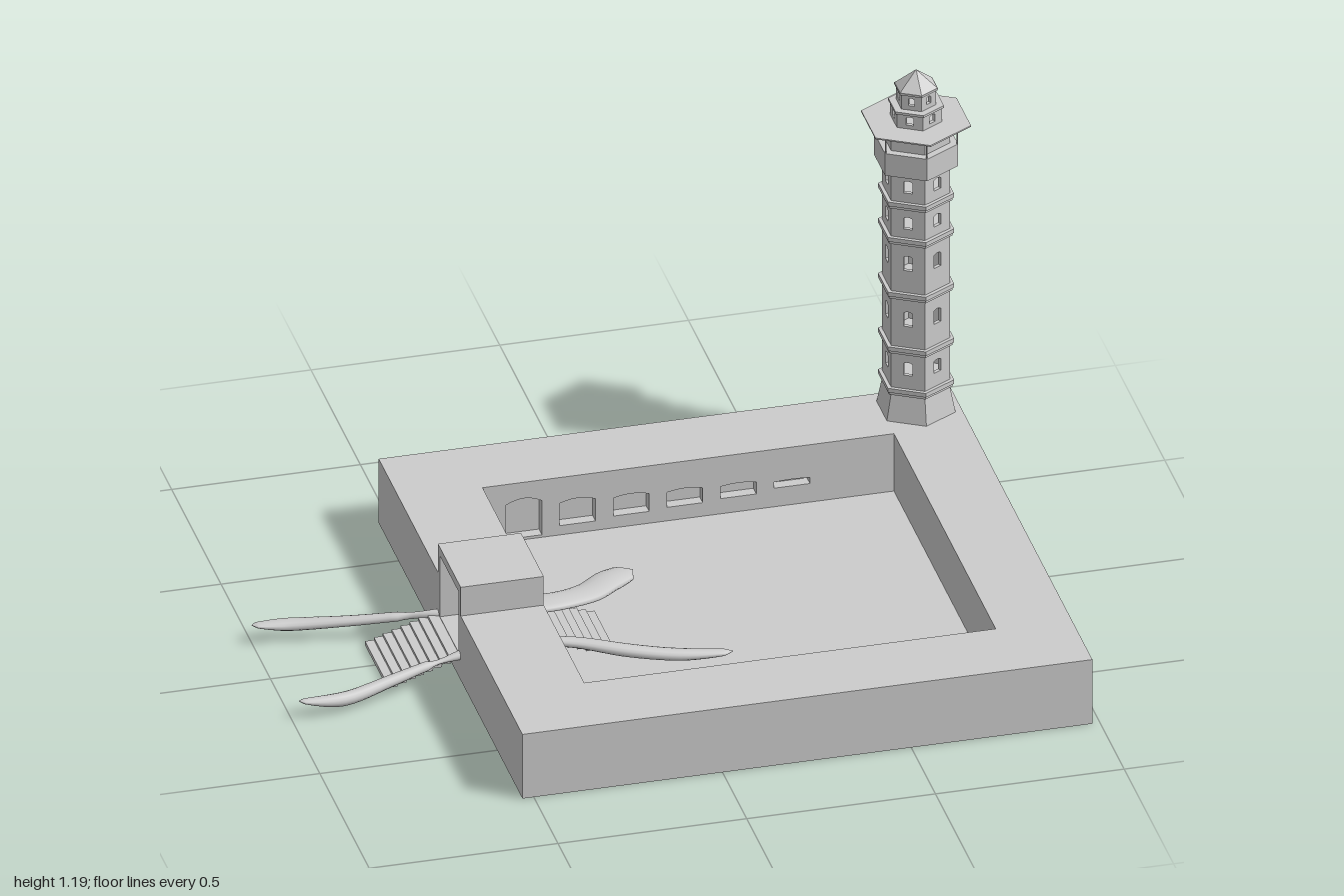
import * as THREE from 'three';

const smooth = new THREE.MeshStandardMaterial({ color: 0xcccccc, side: THREE.DoubleSide });
const flat = new THREE.MeshStandardMaterial({ color: 0xcccccc, flatShading: true, side: THREE.DoubleSide });

function add(parent, name, geometry, material = flat) {
  const mesh = new THREE.Mesh(geometry, material);
  mesh.name = name;
  parent.add(mesh);
  return mesh;
}

function group(parent, name) {
  const g = new THREE.Group();
  g.name = name;
  parent.add(g);
  return g;
}

// Box given by its limits on each axis
function block(parent, name, x0, x1, y0, y1, z0, z1) {
  const mesh = add(parent, name, new THREE.BoxGeometry(x1 - x0, y1 - y0, z1 - z0));
  mesh.position.set((x0 + x1) / 2, (y0 + y1) / 2, (z0 + z1) / 2);
  return mesh;
}

const polygon = (pts) => new THREE.Shape(pts.map(([x, y]) => new THREE.Vector2(x, y)));

// Opening with a shallow arched head
function archHole(cx, y0, w, h, rise) {
  const p = new THREE.Path();
  p.moveTo(cx - w / 2, y0);
  p.lineTo(cx + w / 2, y0);
  p.lineTo(cx + w / 2, y0 + h - rise);
  p.quadraticCurveTo(cx, y0 + h + rise, cx - w / 2, y0 + h - rise);
  p.closePath();
  return p;
}

const extrude = (shape, depth) =>
  new THREE.ExtrudeGeometry(shape, { depth, bevelEnabled: false, curveSegments: 6 });

// Smooth rail with elliptical sections; each row is x, y, z, half width, half height
function railGeometry(rows) {
  const path = new THREE.CatmullRomCurve3(rows.map((r) => new THREE.Vector3(r[0], r[1], r[2])));
  const size = new THREE.CatmullRomCurve3(rows.map((r) => new THREE.Vector3(r[3], r[4], 0)));
  const N = 30, S = 14, pos = [], idx = [];
  for (let i = 0; i <= N; i++) {
    const t = i / N, p = path.getPoint(t), s = size.getPoint(t), d = path.getTangent(t);
    const l = Math.hypot(d.x, d.z), nx = -d.z / l, nz = d.x / l;
    for (let j = 0; j < S; j++) {
      const a = (j / S) * Math.PI * 2, w = Math.cos(a) * s.x;
      pos.push(p.x + nx * w, p.y + Math.sin(a) * s.y, p.z + nz * w);
      if (i < N) {
        const b = i * S + j, c = i * S + ((j + 1) % S);
        idx.push(b, b + S, c, c, b + S, c + S);
      }
    }
  }
  const g = new THREE.BufferGeometry();
  g.setAttribute('position', new THREE.Float32BufferAttribute(pos, 3));
  g.setIndex(idx);
  g.computeVertexNormals();
  return g;
}

function buildCourtyard(root) {
  const yard = group(root, 'courtyard');
  block(yard, 'floor', -0.31, 0.78, 0, 0.02, -0.49, 0.54);
  block(yard, 'backWall', -0.31, 0.98, 0, 0.19, -0.7, -0.52);
  block(yard, 'frontWall', -0.31, 0.98, 0, 0.19, 0.57, 0.755);
  block(yard, 'leftWall', 0.78, 0.98, 0, 0.19, -0.52, 0.57);

  // Inner wall faces with a row of shrinking niches, repeated half a turn round
  const heights = [0.115, 0.075, 0.06, 0.05, 0.04, 0.02];
  for (let side = 0; side < 2; side++) {
    const shape = polygon([[-0.545, 0], [0.545, 0], [0.545, 0.19], [-0.545, 0.19]]);
    heights.forEach((h, i) => {
      shape.holes.push(archHole(-0.435 + i * 0.142, 0.085 - h / 2, 0.095, h, h * 0.12));
    });
    const holder = group(yard, 'nicheWall');
    holder.position.set(0.235, 0, 0.025);
    holder.rotation.y = side * Math.PI;
    add(holder, 'nicheFace', extrude(shape, 0.03)).position.z = -0.545;
  }

  // Gate wall: outline across the wall with the raised gatehouse and its passage
  const gate = polygon([[-0.755, 0], [0.7, 0], [0.7, 0.19], [0.1, 0.19], [0.1, 0.275],
    [-0.13, 0.275], [-0.13, 0.19], [-0.755, 0.19]]);
  gate.holes.push(new THREE.Path([[-0.11, 0.07], [0.08, 0.07], [0.08, 0.25], [-0.11, 0.25]]
    .map(([x, y]) => new THREE.Vector2(x, y))));
  const wall = add(yard, 'gateWall', extrude(gate, 0.22));
  wall.rotation.y = Math.PI / 2;
  wall.position.x = -0.53;
}

function buildStairs(root) {
  const stairs = group(root, 'stairs');
  for (let i = 0; i < 8; i++) {
    const y = 0.062 - i * 0.008, run = 0.0235;
    const xo = -0.53 - i * run, xi = -0.31 + i * run;
    block(stairs, 'outerStep', xo - run - 0.004, xo, y - 0.006, y + 0.006, -0.105, 0.12);
    block(stairs, 'innerStep', xi, xi + run + 0.004, y + 0.004, y + 0.016, -0.09, 0.11);
  }
  const rails = {
    outerBackRail: [[-1, 0.052, -0.19, 0.001, 0.001], [-0.985, 0.05, -0.19, 0.014, 0.006],
      [-0.9, 0.042, -0.187, 0.022, 0.015], [-0.75, 0.05, -0.152, 0.017, 0.013],
      [-0.63, 0.06, -0.125, 0.014, 0.012], [-0.52, 0.068, -0.1, 0.014, 0.012]],
    outerFrontRail: [[-0.98, 0.05, 0.212, 0.001, 0.001], [-0.965, 0.047, 0.212, 0.012, 0.006],
      [-0.86, 0.033, 0.202, 0.02, 0.018], [-0.72, 0.044, 0.16, 0.017, 0.015],
      [-0.62, 0.056, 0.132, 0.014, 0.012], [-0.52, 0.068, 0.115, 0.014, 0.012]],
    innerBackRail: [[-0.32, 0.085, -0.055, 0.045, 0.012], [-0.22, 0.08, -0.065, 0.042, 0.013],
      [-0.13, 0.065, -0.11, 0.044, 0.015], [-0.06, 0.05, -0.18, 0.045, 0.016],
      [-0.01, 0.045, -0.215, 0.038, 0.012], [0.02, 0.045, -0.23, 0.001, 0.001]],
    innerFrontRail: [[-0.32, 0.078, 0.113, 0.015, 0.012], [-0.22, 0.07, 0.138, 0.019, 0.013],
      [-0.1, 0.055, 0.183, 0.021, 0.016], [0.03, 0.042, 0.215, 0.02, 0.015],
      [0.14, 0.04, 0.229, 0.014, 0.008], [0.165, 0.04, 0.23, 0.001, 0.001]],
  };
  for (const [name, rows] of Object.entries(rails)) add(stairs, name, railGeometry(rows), smooth);
}

function buildTower(root) {
  const tower = group(root, 'tower');
  tower.position.set(0.87, 0, -0.61);

  const hex = (name, y0, y1, r0, r1 = r0) => {
    add(tower, name, new THREE.CylinderGeometry(r1, r0, y1 - y0, 6)).position.y = (y0 + y1) / 2;
  };
  // Hollow six-sided storey with one window in each face
  const storey = (name, y0, y1, r, winY, winW, winH) => {
    const shape = polygon([[-r / 2, y0], [r / 2, y0], [r / 2, y1], [-r / 2, y1]]);
    shape.holes.push(archHole(0, winY, winW, winH, 0.004));
    const geometry = extrude(shape, 0.01);
    geometry.translate(0, 0, r * Math.cos(Math.PI / 6) - 0.01);
    const part = group(tower, name);
    for (let i = 0; i < 6; i++) {
      add(part, name + 'Face', geometry).rotation.y = Math.PI / 6 + (i * Math.PI) / 3;
    }
  };

  hex('flaredFoot', 0.19, 0.268, 0.105, 0.089);
  const bands = [0.265, 0.388, 0.55, 0.712, 0.817];
  const windows = [[0.325, 0.038], [0.47, 0.043], [0.635, 0.043], [0.758, 0.035], [0.865, 0.035]];
  bands.forEach((y, i) => {
    hex('bandLower', y, y + 0.008, 0.097);
    hex('band', y + 0.008, y + 0.02, 0.101);
    storey('storey', y + 0.02, bands[i + 1] ?? 0.925, 0.09, windows[i][0], 0.024, windows[i][1]);
  });

  // Gallery, its flat platform and thin corner posts
  hex('galleryBase', 0.92, 0.985, 0.112);
  hex('galleryDrum', 0.985, 1.043, 0.09);
  hex('platform', 1.041, 1.045, 0.146);
  for (let i = 0; i < 6; i++) {
    const a = (i * Math.PI) / 3;
    add(tower, 'galleryPost', new THREE.CylinderGeometry(0.002, 0.002, 0.06, 6))
      .position.set(Math.sin(a) * 0.109, 1.014, Math.cos(a) * 0.109);
  }

  // Two-tier lantern and pointed roof
  storey('lowerLantern', 1.045, 1.086, 0.069, 1.056, 0.02, 0.024);
  hex('lanternCornice', 1.086, 1.093, 0.074);
  storey('upperLantern', 1.093, 1.139, 0.053, 1.106, 0.016, 0.022);
  hex('roofEave', 1.136, 1.142, 0.058);
  hex('roof', 1.142, 1.188, 0.057, 0.001);
}

export function createModel() {
  const root = new THREE.Group();
  root.name = 'towerAndCourtyard';
  buildCourtyard(root);
  buildStairs(root);
  buildTower(root);
  return root;
}
